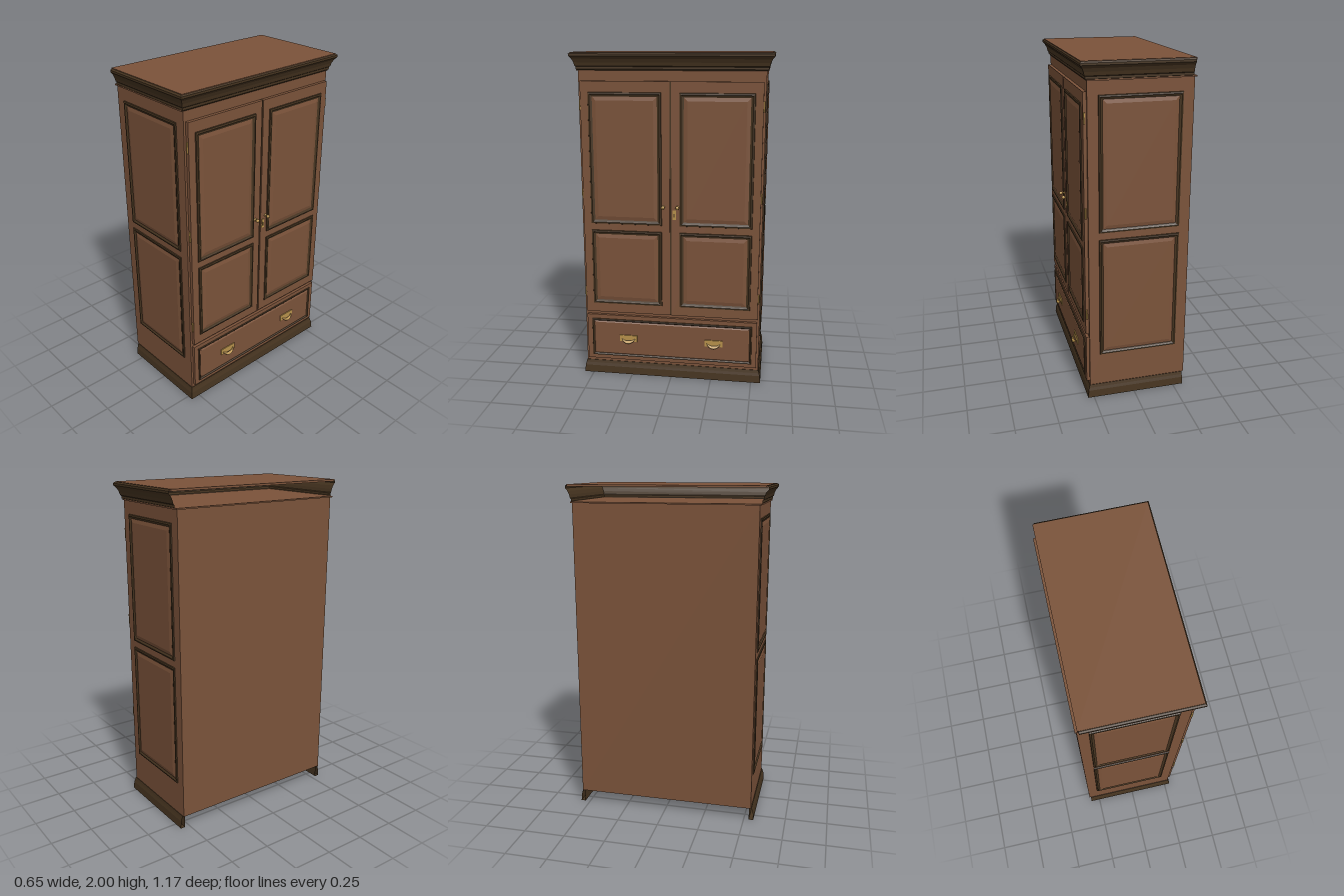
import * as THREE from 'three';

const mat = (name, color, side = THREE.FrontSide) => {
  const m = new THREE.MeshStandardMaterial({ color, side });
  m.name = name;
  return m;
};

// Skin between rows of points (each row listed anticlockwise seen from outside)
function loft(rows, closed, cap) {
  const pos = [];
  const n = rows[0].length;
  const quad = (a, b, c, d) => pos.push(...a, ...b, ...c, ...a, ...c, ...d);
  for (let k = 0; k < rows.length - 1; k++) {
    for (let j = 0; j < (closed ? n : n - 1); j++) {
      const i = (j + 1) % n;
      quad(rows[k][j], rows[k][i], rows[k + 1][i], rows[k + 1][j]);
    }
  }
  if (cap) quad(...rows[rows.length - 1]);
  const g = new THREE.BufferGeometry();
  g.setAttribute('position', new THREE.Float32BufferAttribute(pos, 3));
  g.computeVertexNormals();
  return g;
}

// Rectangular rings from a profile of [inset, height]
const rectRings = (w, h, profile) => profile.map(([inset, z]) => {
  const x = w / 2 - inset, y = h / 2 - inset;
  return [[-x, -y, z], [x, -y, z], [x, y, z], [-x, y, z]];
});

// Moulding round the front and both sides, open at the back; profile of [offset, y]
const threeSided = (profile) => loft(profile.map(([d, y]) => {
  const x = 0.27 + d, z = 0.543 + d;
  return [[-0.31, y, z], [x, y, z], [x, y, -z], [-0.31, y, -z]];
}), false, false);

export function createModel() {
  const wood = mat('brown wood', 0x7b533a);
  const dark = mat('dark moulding wood', 0x463420, THREE.DoubleSide);
  const brass = mat('brass', 0xb8924c, THREE.DoubleSide);
  const model = new THREE.Group();
  model.name = 'wardrobe';

  const add = (parent, name, geo, material, x = 0, y = 0, z = 0) => {
    const m = new THREE.Mesh(geo, material);
    m.name = name;
    m.position.set(x, y, z);
    parent.add(m);
    return m;
  };
  const box = (parent, name, material, x0, x1, y0, y1, z0, z1) =>
    add(parent, name, new THREE.BoxGeometry(x1 - x0, y1 - y0, z1 - z0), material,
      (x0 + x1) / 2, (y0 + y1) / 2, (z0 + z1) / 2);

  // Raised panel inside a dark moulded frame, lying on local plane z
  const panel = (parent, name, x0, x1, y0, y1, z, w, bevel) => {
    const g = new THREE.Group();
    g.name = name;
    g.position.set((x0 + x1) / 2, (y0 + y1) / 2, z);
    parent.add(g);
    const W = x1 - x0, H = y1 - y0;
    add(g, 'panelMoulding', loft(rectRings(W, H,
      [[0, 0], [0.002, 0.006], [w * 0.45, 0.008], [w * 0.7, 0.004], [w, 0.001]]), true, false), dark);
    add(g, 'raisedPanel', loft(rectRings(W, H,
      [[w, 0.001], [w + bevel, 0.006]]), true, true), wood);
  };

  // Carcass and the ledge under the cornice
  box(model, 'carcass', wood, -0.32, 0.27, 0.08, 1.895, -0.543, 0.543);
  box(model, 'carcassTop', wood, -0.328, 0.272, 1.895, 1.903, -0.552, 0.552);

  // Cornice with its top board, hollow at the back
  add(model, 'cornice', threeSided([[0, 1.895], [0.01, 1.905], [0.01, 1.918], [0.015, 1.922],
    [0.02, 1.942], [0.029, 1.962], [0.039, 1.974], [0.043, 1.978], [0.043, 1.99],
    [0.034, 1.998], [0.02, 1.998]]), dark);
  box(model, 'topBoard', wood, -0.316, 0.306, 1.988, 2, -0.574, 0.574);

  // Flared plinth with an inner face, open below and behind
  add(model, 'plinth', threeSided([[-0.012, 0.08], [-0.012, 0], [0.016, 0], [0.012, 0.045],
    [0.007, 0.062], [0.003, 0.08], [-0.012, 0.08]]), dark);

  // Panelled sides
  for (const s of [1, -1]) {
    const side = new THREE.Group();
    side.name = s > 0 ? 'leftSide' : 'rightSide';
    side.position.set(-0.025, 0, s * 0.543);
    side.rotation.y = s > 0 ? 0 : Math.PI;
    model.add(side);
    panel(side, 'upperSidePanel', -0.235, 0.235, 1.05, 1.82, 0, 0.023, 0.022);
    panel(side, 'lowerSidePanel', -0.235, 0.235, 0.28, 1.01, 0, 0.023, 0.022);
  }

  // Door and drawer face, built facing local z and turned to face x
  const face = new THREE.Group();
  face.name = 'doorsAndDrawer';
  face.rotation.y = Math.PI / 2;
  model.add(face);
  box(face, 'doorGap', dark, -0.008, 0.008, 0.42, 1.838, 0.265, 0.284);

  const knobProfile = [[0, 0], [0.009, 0], [0.009, 0.003], [0.004, 0.006], [0.004, 0.015],
    [0.01, 0.02], [0.011, 0.027], [0.008, 0.033], [0, 0.035]].map((p) => new THREE.Vector2(...p));
  const crescent = new THREE.Shape();
  crescent.moveTo(-0.042, 0);
  crescent.bezierCurveTo(-0.03, -0.045, 0.03, -0.045, 0.042, 0);
  crescent.bezierCurveTo(0.025, -0.02, -0.025, -0.02, -0.042, 0);

  for (const s of [1, -1]) {
    // Doors
    const door = new THREE.Group();
    door.name = s > 0 ? 'rightDoor' : 'leftDoor';
    face.add(door);
    const span = (a, b) => (s > 0 ? [a, b] : [-b, -a]);
    box(door, 'doorBoard', wood, ...span(0.005, 0.53), 0.42, 1.838, 0.26, 0.29);
    panel(door, 'upperDoorPanel', ...span(0.053, 0.485), 0.99, 1.775, 0.29, 0.025, 0.022);
    panel(door, 'lowerDoorPanel', ...span(0.053, 0.485), 0.477, 0.95, 0.29, 0.025, 0.022);

    // Knobs and hinges
    const knob = add(door, 'knob', new THREE.LatheGeometry(knobProfile, 16), brass, s * 0.043, 1.107, 0.29);
    knob.rotation.x = Math.PI / 2;
    for (const y of [1.7, 1.17, 0.55]) {
      add(door, 'hinge', new THREE.CylinderGeometry(0.005, 0.005, 0.06, 10), brass, s * 0.534, y, 0.283);
    }

    // Drawer pulls: plate with a drooping lip
    box(face, 'pullPlate', brass, s * 0.267 - 0.055, s * 0.267 + 0.055, 0.232, 0.272, 0.29, 0.3);
    const lip = add(face, 'pullLip', new THREE.ExtrudeGeometry(crescent,
      { depth: 0.004, bevelEnabled: false, curveSegments: 12 }), brass, s * 0.267, 0.25, 0.298);
    lip.rotation.x = -0.75;
  }

  // Keyhole plate
  box(face, 'keyholePlate', brass, 0.012, 0.032, 1.03, 1.087, 0.288, 0.294);
  box(face, 'keyhole', dark, 0.02, 0.024, 1.045, 1.068, 0.29, 0.2955);

  // Drawer
  box(face, 'drawerBoard', wood, -0.53, 0.53, 0.102, 0.398, 0.26, 0.288);
  panel(face, 'drawerPanel', -0.5, 0.5, 0.125, 0.372, 0.288, 0.014, 0.008);

  return model;
}
